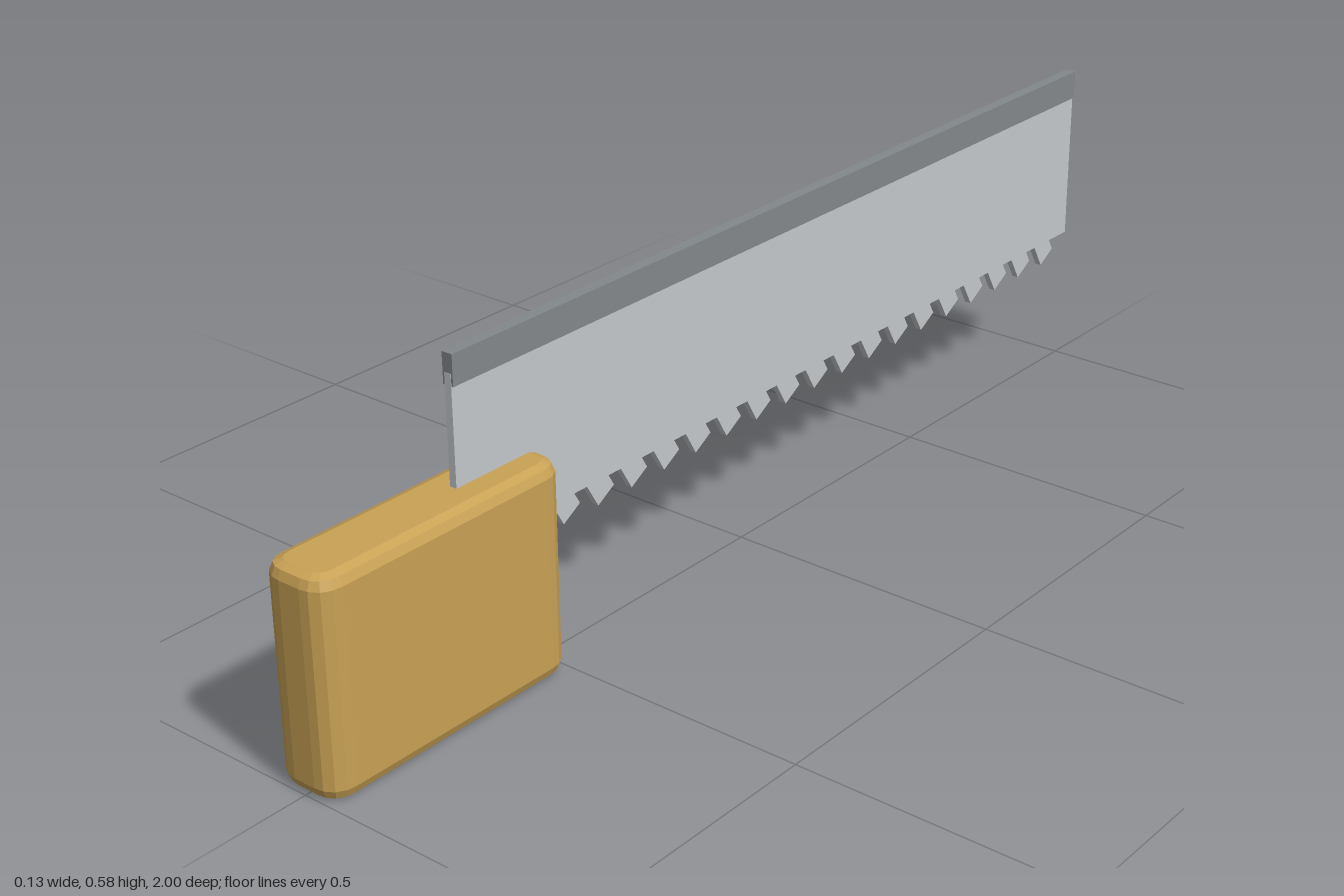
import * as THREE from 'three';

export function createModel() {
  const model = new THREE.Group();
  const material = (name, color) => {
    const m = new THREE.MeshStandardMaterial({ color });
    m.name = name;
    return m;
  };
  const wood = material('wood', 0xc9a255);
  const steel = material('steel', 0xc4c8ca);
  const darkSteel = material('dark steel', 0x83888b);

  const add = (name, geometry, mat, x, y, z, parent = model) => {
    const mesh = new THREE.Mesh(geometry, mat);
    mesh.name = name;
    mesh.position.set(x, y, z);
    parent.add(mesh);
    return mesh;
  };

  // Handle: rounded rectangle seen from above, extruded upwards with a bevel
  const bevel = 0.02, hx = 0.063 - bevel, hz = 0.25 - bevel, r = 0.024;
  const outline = new THREE.Shape();
  outline.moveTo(-hx + r, -hz);
  outline.lineTo(hx - r, -hz);
  outline.quadraticCurveTo(hx, -hz, hx, -hz + r);
  outline.lineTo(hx, hz - r);
  outline.quadraticCurveTo(hx, hz, hx - r, hz);
  outline.lineTo(-hx + r, hz);
  outline.quadraticCurveTo(-hx, hz, -hx, hz - r);
  outline.lineTo(-hx, -hz + r);
  outline.quadraticCurveTo(-hx, -hz, -hx + r, -hz);
  const handle = new THREE.ExtrudeGeometry(outline, {
    depth: 0.364 - 2 * bevel, bevelThickness: bevel, bevelSize: bevel,
    bevelSegments: 2, curveSegments: 4,
  });
  handle.rotateX(-Math.PI / 2);
  add('handle', handle, wood, 0, bevel, 0.75);

  // Blade, its ends just proud of the stiffening spine
  add('blade', new THREE.BoxGeometry(0.013, 0.293, 1.675), steel, 0, 0.4015, -0.1625);
  add('spine', new THREE.BoxGeometry(0.02, 0.052, 1.674), darkSteel, 0, 0.554, -0.1625);

  // Teeth: a row of raked blocks along the lower edge
  const teeth = new THREE.Group();
  teeth.name = 'teeth';
  model.add(teeth);
  const tooth = new THREE.BoxGeometry(0.012, 0.06, 0.044);
  for (let i = -1; i < 18; i++) {
    add('tooth', tooth, steel, 0, 0.2485, 0.4435 - 0.0803 * i, teeth).rotation.x = 0.53;
  }
  return model;
}
